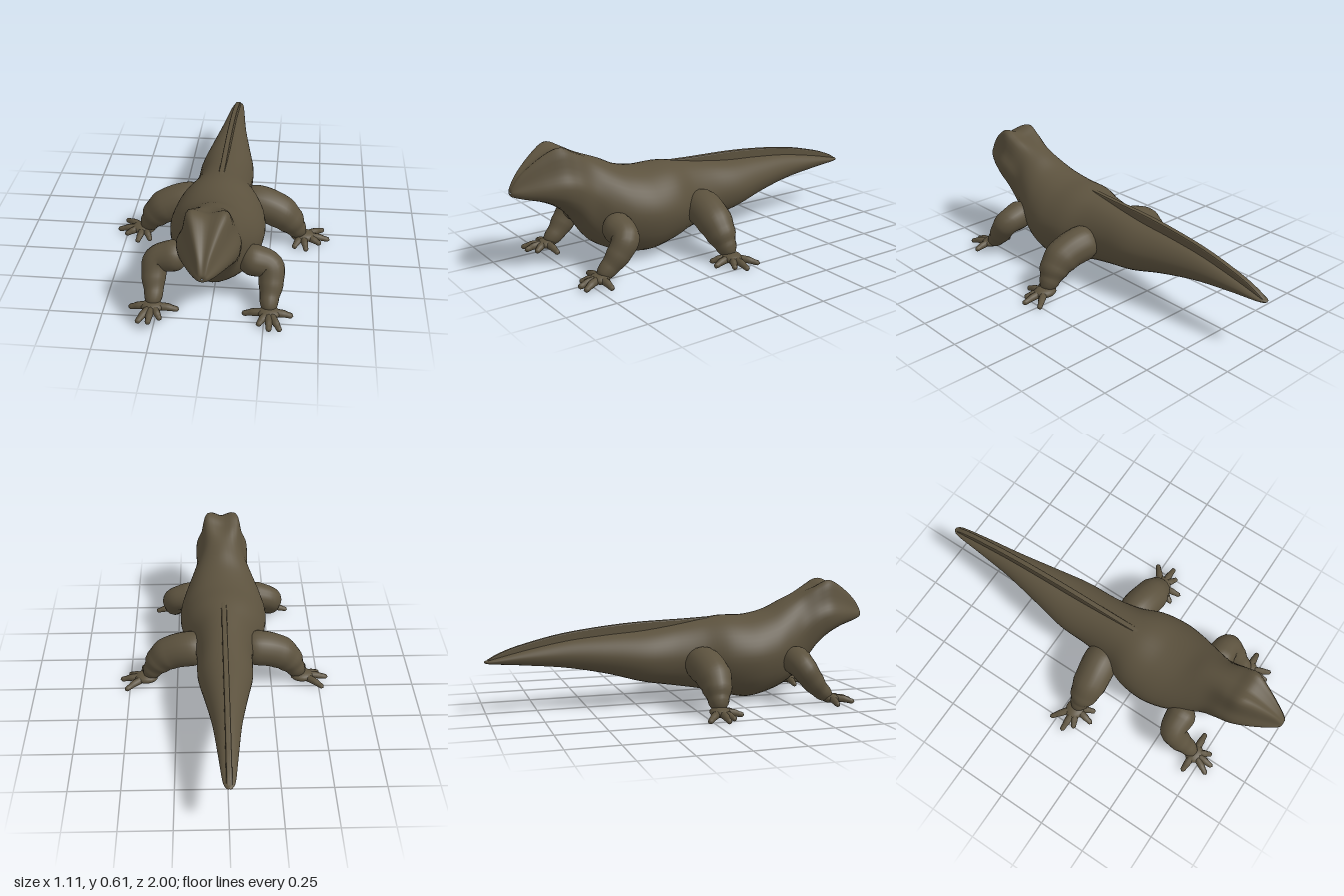
import * as THREE from 'three';
import { mergeVertices } from 'three/addons/utils/BufferGeometryUtils.js';

const skin = new THREE.MeshStandardMaterial({ color: 0x5c523e });
skin.name = 'olive brown skin';

function addMesh(parent, name, geometry) {
  const mesh = new THREE.Mesh(geometry, skin);
  mesh.name = name;
  parent.add(mesh);
  return mesh;
}

// Weld the seams and give smooth normals
function smooth(geometry) {
  geometry.deleteAttribute('uv');
  geometry.deleteAttribute('normal');
  const welded = mergeVertices(geometry, 1e-5);
  welded.computeVertexNormals();
  return welded;
}

// Tube along points [x, y, z, radius] with rounded ends
function limb(points, segments = 24, sides = 14) {
  const curve = new THREE.CatmullRomCurve3(points.map(p => new THREE.Vector3(p[0], p[1], p[2])));
  const geometry = new THREE.TubeGeometry(curve, segments, 1, sides);
  const length = curve.getLength();
  const pos = geometry.attributes.position;
  const v = new THREE.Vector3();
  for (let i = 0; i <= segments; i++) {
    const u = i / segments;
    const center = curve.getPointAt(u);
    const t = curve.getUtoTmapping(u) * (points.length - 1);
    const k = Math.min(Math.floor(t), points.length - 2);
    let r = THREE.MathUtils.lerp(points[k][3], points[k + 1][3], THREE.MathUtils.smoothstep(t - k, 0, 1));
    const edge = Math.min(u, 1 - u) * length / r;
    if (edge < 1) r *= Math.sqrt(1 - (1 - edge) ** 2);
    for (let j = 0; j <= sides; j++) {
      const n = i * (sides + 1) + j;
      v.fromBufferAttribute(pos, n).sub(center).multiplyScalar(r).add(center);
      pos.setXYZ(n, v.x, v.y, v.z);
    }
  }
  return smooth(geometry);
}

// Body sections: z, top, bottom, half width, height of widest point, brow half width, brow amount (0 round, 1 ridged)
const SECTIONS = [
  [1.0, 0.43, 0.422, 0.004, 0.426, 0.002, 0],
  [0.995, 0.452, 0.408, 0.025, 0.428, 0.014, 0.6],
  [0.95, 0.51, 0.39, 0.058, 0.43, 0.028, 1],
  [0.86, 0.58, 0.362, 0.108, 0.435, 0.058, 1],
  [0.78, 0.615, 0.32, 0.138, 0.435, 0.083, 1],
  [0.71, 0.588, 0.255, 0.143, 0.415, 0.083, 0.8],
  [0.63, 0.555, 0.14, 0.143, 0.35, 0.075, 0.25],
  [0.55, 0.52, 0.078, 0.172, 0.28, 0.08, 0],
  [0.45, 0.472, 0.038, 0.21, 0.24, 0.1, 0],
  [0.33, 0.447, 0.015, 0.23, 0.225, 0.11, 0],
  [0.2, 0.447, 0.042, 0.215, 0.225, 0.1, 0],
  [0.08, 0.43, 0.072, 0.165, 0.23, 0.08, 0],
  [-0.05, 0.408, 0.095, 0.143, 0.235, 0.07, 0],
  [-0.22, 0.385, 0.125, 0.137, 0.24, 0.06, 0],
  [-0.4, 0.372, 0.175, 0.105, 0.26, 0.045, 0],
  [-0.6, 0.352, 0.215, 0.07, 0.275, 0.03, 0],
  [-0.8, 0.315, 0.237, 0.047, 0.275, 0.02, 0],
  [-0.95, 0.28, 0.25, 0.03, 0.265, 0.012, 0],
  [-0.99, 0.27, 0.255, 0.016, 0.262, 0.007, 0],
  [-1.0, 0.264, 0.26, 0.002, 0.262, 0.001, 0],
];

// Ten control points around one section, clockwise from the top
function sectionPoints([z, top, bottom, w, yc, brow, f]) {
  const up = top - yc, down = yc - bottom, mix = THREE.MathUtils.lerp;
  const half = [
    [mix(0.5 * w, brow, f), yc + up * mix(0.866, 1, f)],
    [mix(0.866 * w, (brow + w) / 2, f), yc + up * mix(0.5, 0.42, f)],
    [w, yc],
    [w * mix(0.72, 0.8, f), yc - down * 0.7],
  ];
  const ring = [[0, top - 0.1 * up * f], ...half, [0, bottom], ...half.map(([x, y]) => [-x, y]).reverse()];
  return ring.map(([x, y]) => new THREE.Vector3(x, y, z));
}

// Head, trunk and tail in a single smooth skin
function bodyGeometry(rings = 110, sides = 40) {
  const grid = SECTIONS.map(sectionPoints);
  const rails = grid[0].map((_, k) => new THREE.CatmullRomCurve3(grid.map(s => s[k]), false, 'catmullrom', 0.5));
  const positions = [], index = [];
  for (let i = 0; i <= rings; i++) {
    const loop = new THREE.CatmullRomCurve3(rails.map(r => r.getPoint(i / rings)), true, 'catmullrom', 0.5);
    for (let j = 0; j < sides; j++) positions.push(...loop.getPoint(j / sides).toArray());
  }
  for (let i = 0; i < rings; i++) {
    for (let j = 0; j < sides; j++) {
      const a = i * sides + j, b = i * sides + (j + 1) % sides;
      index.push(a, b, a + sides, b, b + sides, a + sides);
    }
  }
  const geometry = new THREE.BufferGeometry();
  geometry.setAttribute('position', new THREE.Float32BufferAttribute(positions, 3));
  geometry.setIndex(index);
  geometry.computeVertexNormals();
  return geometry;
}

// Thin keel along the back and tail
function crestGeometry() {
  const top = [[0.2, 0.445], [0.03, 0.437], [-0.29, 0.425], [-0.6, 0.39], [-0.82, 0.34], [-0.93, 0.302], [-0.985, 0.272]];
  const shape = new THREE.Shape();
  shape.moveTo(0.2, 0.38);
  shape.lineTo(...top[0]);
  shape.splineThru(top.slice(1).map(p => new THREE.Vector2(...p)));
  shape.lineTo(-0.8, 0.27);
  shape.lineTo(-0.3, 0.32);
  shape.closePath();
  const geometry = new THREE.ExtrudeGeometry(shape, {
    depth: 0.012, bevelEnabled: true, bevelThickness: 0.008, bevelSize: 0.006, bevelOffset: -0.006, bevelSegments: 2,
  });
  return geometry.translate(0, 0, -0.006).rotateY(-Math.PI / 2);
}

// A leg with a flattened palm and five spread toes
function makeLeg(name, side, { path, palm, toes }) {
  const leg = new THREE.Group();
  leg.name = name;
  addMesh(leg, 'limb', limb(path.map(([x, y, z, r]) => [side * x, y, z, r]), 32, 18));
  const [px, py, pz, sx, sy, sz] = palm;
  const pad = addMesh(leg, 'palm', new THREE.SphereGeometry(1, 18, 12));
  pad.position.set(side * px, py, pz);
  pad.scale.set(sx, sy, sz);
  for (const [tx, tz] of toes) {
    const at = (k, y, r) => [side * (px + (tx - px) * k), y, pz + (tz - pz) * k, r];
    addMesh(leg, 'toe', limb([at(0.15, 0.034, 0.02), at(0.55, 0.032, 0.018), at(0.8, 0.024, 0.014), at(1, 0.018, 0.012)], 14, 8));
  }
  return leg;
}

const FRONT_LEG = {
  path: [[0.12, 0.24, 0.56, 0.08], [0.19, 0.22, 0.555, 0.075], [0.265, 0.195, 0.56, 0.066],
    [0.275, 0.13, 0.605, 0.058], [0.27, 0.075, 0.655, 0.045], [0.272, 0.035, 0.71, 0.032]],
  palm: [0.272, 0.035, 0.705, 0.052, 0.024, 0.045],
  toes: [[0.385, 0.7], [0.33, 0.815], [0.277, 0.82], [0.222, 0.785], [0.145, 0.7]],
};

const HIND_LEG = {
  path: [[0.08, 0.22, 0.05, 0.09], [0.19, 0.22, 0.06, 0.092], [0.29, 0.185, 0.07, 0.088],
    [0.345, 0.135, 0.07, 0.074], [0.38, 0.085, 0.065, 0.052], [0.42, 0.04, 0.06, 0.032]],
  palm: [0.415, 0.037, 0.06, 0.062, 0.026, 0.05],
  toes: [[0.525, -0.03], [0.555, 0.062], [0.51, 0.108], [0.435, 0.175], [0.368, 0.155]],
};

export function createModel() {
  const model = new THREE.Group();
  model.name = 'lizard';
  addMesh(model, 'body', bodyGeometry());
  addMesh(model, 'tailCrest', crestGeometry());
  for (const [label, side] of [['left', 1], ['right', -1]]) {
    model.add(makeLeg(label + 'FrontLeg', side, FRONT_LEG));
    model.add(makeLeg(label + 'HindLeg', side, HIND_LEG));
  }
  return model;
}
